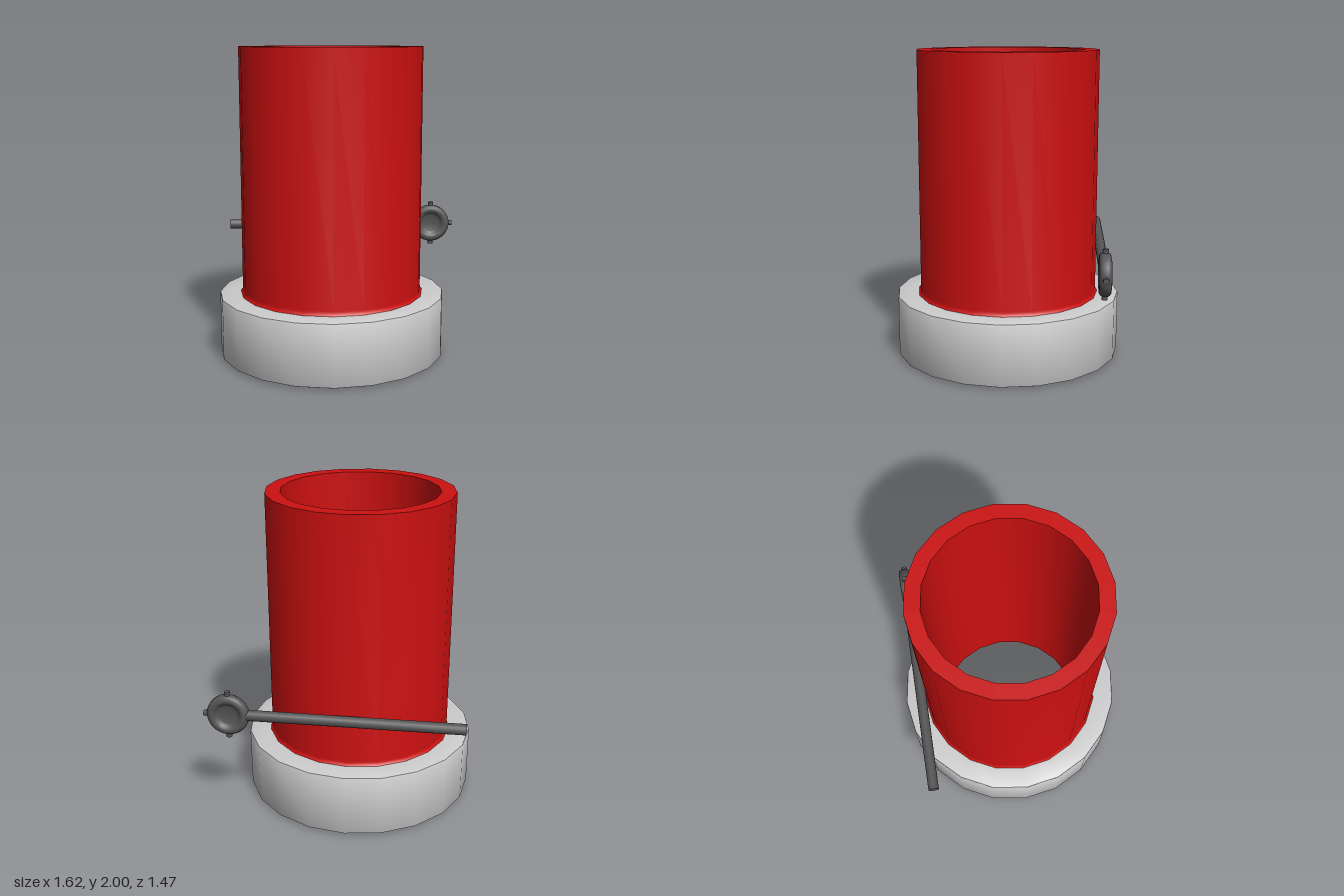
import * as THREE from 'three';
import { toCreasedNormals } from 'three/addons/utils/BufferGeometryUtils.js';

const grey = new THREE.MeshStandardMaterial({ color: 0xcccccc });
const red = new THREE.MeshStandardMaterial({ color: 0xcc1010 });
const iron = new THREE.MeshStandardMaterial({ color: 0x555555 });

// Turned part: profile points are [radius, height]
function turned(name, profile, sides, material) {
  const points = profile.map(([r, y]) => new THREE.Vector2(r, y));
  const geometry = toCreasedNormals(new THREE.LatheGeometry(points, sides), 0.6);
  const mesh = new THREE.Mesh(geometry, material);
  mesh.name = name;
  return mesh;
}

function rod(name, radius, length, sides) {
  const geometry = toCreasedNormals(new THREE.CylinderGeometry(radius, radius, length, sides), 0.9);
  const mesh = new THREE.Mesh(geometry, iron);
  mesh.name = name;
  return mesh;
}

// Wheel with a rounded rim, a recessed web and four knobs
function createHandwheel() {
  const wheel = new THREE.Group();
  wheel.name = 'handwheel';

  const upper = [[0.131, 0.014], [0.124, 0.027], [0.112, 0.035], [0.098, 0.037],
    [0.085, 0.033], [0.076, 0.024], [0.068, 0.016], [0.058, 0.012], [0, 0.012]];
  const lower = upper.map(([r, y]) => [r, -y]).reverse();
  const disc = turned('wheelRim', [...lower, ...upper], 32, iron);
  disc.rotation.x = Math.PI / 2;
  wheel.add(disc);

  for (let i = 0; i < 4; i++) {
    const angle = i * Math.PI / 2;
    const knob = rod('wheelKnob', 0.018, 0.04, 12);
    knob.position.set(-Math.sin(angle) * 0.133, Math.cos(angle) * 0.133, 0);
    knob.rotation.z = angle;
    wheel.add(knob);
  }
  return wheel;
}

export function createModel() {
  const model = new THREE.Group();
  model.name = 'pipeWithHandwheel';

  // Pipe and collar share an axis, offset to balance the wheel
  const column = new THREE.Group();
  column.name = 'column';
  column.position.x = -0.075;
  model.add(column);

  // Hollow pipe with a small flare where it enters the collar
  column.add(turned('pipe', [
    [0.6, 0.405], [0.598, 0.412], [0.591, 0.418], [0.587, 0.428], [0.586, 0.44],
    [0.586, 2], [0.492, 2], [0.492, 0],
  ], 20, red));

  // Collar with softened edges
  column.add(turned('collar', [
    [0.57, 0.01], [0.727, 0.01], [0.733, 0.013], [0.736, 0.02],
    [0.736, 0.4], [0.733, 0.407], [0.727, 0.41], [0.57, 0.41],
  ], 20, grey));

  // Thin foot ring under the collar
  column.add(turned('footRing', [[0.492, 0], [0.586, 0], [0.586, 0.012]], 20, grey));

  // Valve stem across the back of the pipe
  const stem = rod('valveStem', 0.034, 1.33, 16);
  stem.rotation.z = Math.PI / 2;
  stem.position.set(-0.125, 0.73, -0.612);
  model.add(stem);

  const wheel = createHandwheel();
  wheel.position.set(0.657, 0.73, -0.612);
  model.add(wheel);

  return model;
}
